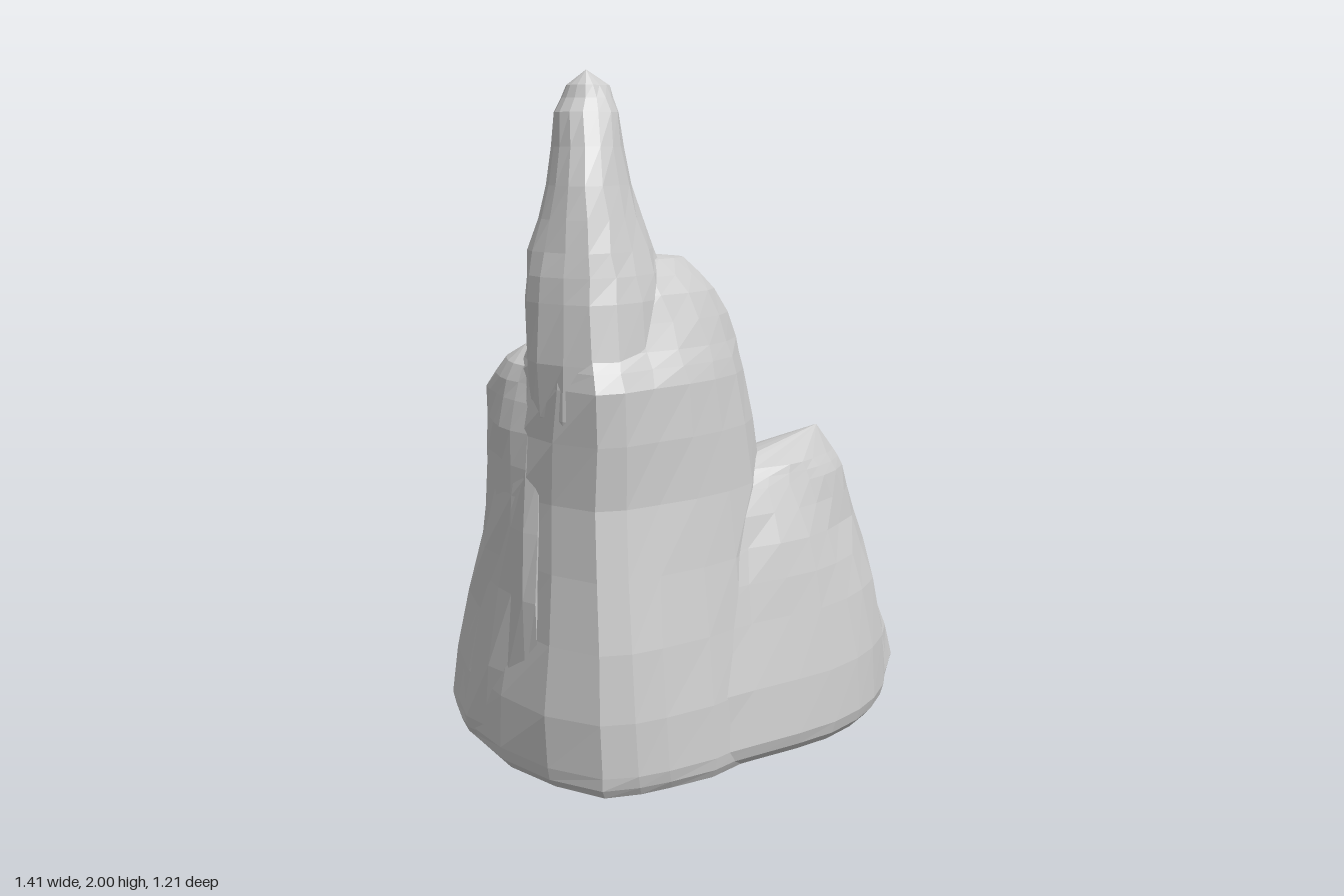
import * as THREE from 'three';

const rockMaterial = new THREE.MeshStandardMaterial({ color: 0xcccccc, flatShading: true });

// Small repeatable offset that roughens the facets
const rough = (p) => 0.008 * Math.sin(17 * p.x + 23 * p.y + 5) * Math.cos(19 * p.z - 13 * p.y);

// Lofts a closed rock from sections [y, x0, z0, x1, z1, ...] listed from the bottom up,
// each running from the front round by +x; closed by an apex below and above.
function rock(name, sections, bottom, top, sides = 20, steps = 2) {
  const rings = sections.map(([y, ...xz]) => {
    const pts = [];
    for (let i = 0; i < xz.length; i += 2) pts.push(new THREE.Vector3(xz[i], y, xz[i + 1]));
    const curve = new THREE.CatmullRomCurve3(pts, true);
    return Array.from({ length: sides }, (_, i) => curve.getPoint(i / sides));
  });

  // Underside: the first ring drawn in, nearly flat, towards the lower apex
  const foot = new THREE.Vector3(...bottom);
  const underside = [[0.55, 0.1], [0.07, 0.06]].map(([inset, drop]) =>
    rings[0].map((p) => p.clone().lerp(foot, inset).setY(p.y - drop)));
  rings.unshift(...underside);

  const columns = Array.from({ length: sides }, (_, j) =>
    new THREE.CatmullRomCurve3(rings.map((r) => r[j])));
  const rows = (rings.length - 1) * steps + 1;
  const pos = [];
  const index = [];
  for (let i = 0; i < rows; i++) {
    for (let j = 0; j < sides; j++) {
      const p = columns[j].getPoint(i / (rows - 1));
      const d = rough(p);
      pos.push(p.x + d, p.y, p.z - d);
    }
  }
  const at = (i, j) => i * sides + (j % sides);
  const low = rows * sides;
  pos.push(...bottom, ...top);
  for (let j = 0; j < sides; j++) {
    for (let i = 0; i < rows - 1; i++) {
      const a = at(i, j), b = at(i, j + 1), c = at(i + 1, j + 1), d = at(i + 1, j);
      index.push(a, b, c, a, c, d);
    }
    index.push(low, at(0, j + 1), at(0, j));
    index.push(low + 1, at(rows - 1, j), at(rows - 1, j + 1));
  }
  const geometry = new THREE.BufferGeometry();
  geometry.setAttribute('position', new THREE.Float32BufferAttribute(pos, 3));
  geometry.setIndex(index);
  geometry.computeVertexNormals();
  const mesh = new THREE.Mesh(geometry, rockMaterial);
  mesh.name = name;
  return mesh;
}

export function createModel() {
  const model = new THREE.Group();
  model.name = 'rockFormation';

  // Tall main body with a ledge behind the peak and a higher shoulder beside it
  model.add(rock('mainBody', [
    [0.17, -0.3, 0.61, -0.11, 0.57, 0.13, 0.42, 0.18, 0.1, 0.04, -0.2, -0.08, -0.37, -0.32, -0.43, -0.58, -0.33, -0.7, -0.08, -0.56, 0.36],
    [0.5, -0.3, 0.58, -0.12, 0.53, 0.11, 0.38, 0.18, 0.1, 0.06, -0.2, -0.08, -0.36, -0.32, -0.42, -0.55, -0.31, -0.64, -0.05, -0.53, 0.33],
    [0.87, -0.3, 0.51, -0.13, 0.46, 0.08, 0.33, 0.2, 0.14, 0.08, -0.15, -0.1, -0.3, -0.32, -0.34, -0.49, -0.24, -0.56, 0, -0.51, 0.3],
    [1.18, -0.3, 0.53, -0.13, 0.44, 0.05, 0.31, 0.15, 0.14, 0.05, -0.1, -0.12, -0.2, -0.3, -0.2, -0.43, -0.13, -0.48, 0, -0.46, 0.28],
    [1.27, -0.3, 0.47, -0.15, 0.4, 0.03, 0.29, 0.13, 0.13, 0.05, -0.08, -0.12, -0.15, -0.27, -0.05, -0.39, 0, -0.44, 0.08, -0.44, 0.27],
    [1.41, -0.3, 0.4, -0.18, 0.35, -0.02, 0.26, 0.07, 0.14, 0.01, 0.05, -0.1, 0.02, -0.22, 0.07, -0.34, 0.12, -0.4, 0.18, -0.41, 0.28],
    [1.5, -0.28, 0.34, -0.2, 0.31, -0.1, 0.24, -0.02, 0.16, -0.06, 0.11, -0.14, 0.1, -0.23, 0.13, -0.32, 0.15, -0.37, 0.2, -0.36, 0.27],
  ], [-0.09, 0, 0.28], [-0.2, 1.52, 0.2]));

  // Narrow peak flaring into the body and leaning back towards its tip
  model.add(rock('spire', [
    [1.1, -0.3, 0.5, -0.16, 0.42, -0.1, 0.24, -0.15, 0.05, -0.3, 0.02, -0.41, 0.1, -0.46, 0.24, -0.43, 0.37],
    [1.4, -0.3, 0.45, -0.16, 0.38, -0.08, 0.23, -0.15, 0.09, -0.3, 0.06, -0.41, 0.11, -0.46, 0.25, -0.43, 0.37],
    [1.53, -0.3, 0.42, -0.18, 0.34, -0.11, 0.22, -0.19, 0.12, -0.3, 0.1, -0.4, 0.14, -0.45, 0.25, -0.42, 0.35],
    [1.7, -0.3, 0.36, -0.21, 0.3, -0.17, 0.21, -0.21, 0.14, -0.3, 0.13, -0.37, 0.15, -0.4, 0.22, -0.38, 0.3],
    [1.89, -0.3, 0.27, -0.23, 0.25, -0.2, 0.19, -0.23, 0.14, -0.3, 0.13, -0.36, 0.15, -0.38, 0.19, -0.36, 0.24],
    [1.96, -0.29, 0.24, -0.25, 0.22, -0.22, 0.18, -0.25, 0.15, -0.29, 0.14, -0.33, 0.16, -0.34, 0.19, -0.33, 0.22],
  ], [-0.28, 0.9, 0.25], [-0.29, 2, 0.21], 16));

  // Upright rib along the -x flank
  model.add(rock('sideRib', [
    [0.2, -0.46, 0.46, -0.4, 0.1, -0.5, -0.27, -0.62, -0.22, -0.68, -0.08, -0.65, 0.19, -0.55, 0.35],
    [0.6, -0.45, 0.42, -0.4, 0.1, -0.5, -0.25, -0.57, -0.2, -0.6, -0.06, -0.58, 0.18, -0.52, 0.33],
    [0.95, -0.44, 0.38, -0.4, 0.1, -0.47, -0.21, -0.53, -0.18, -0.57, -0.04, -0.56, 0.14, -0.51, 0.28],
    [1.12, -0.43, 0.34, -0.4, 0.1, -0.46, -0.14, -0.51, -0.13, -0.57, -0.02, -0.55, 0.12, -0.5, 0.24],
    [1.21, -0.42, 0.28, -0.4, 0.1, -0.44, -0.08, -0.48, -0.07, -0.52, 0, -0.51, 0.1, -0.47, 0.2],
  ], [-0.5, 0.12, 0.05], [-0.46, 1.25, 0.05], 14));

  // Lower shoulder on the +x side, its front running on into the main body
  model.add(rock('lowerShoulder', [
    [0.17, -0.14, 0.54, 0.15, 0.43, 0.4, 0.3, 0.56, 0.13, 0.65, -0.08, 0.68, -0.28, 0.4, -0.45, 0, -0.4, -0.05, -0.2, -0.15, 0.2],
    [0.5, -0.15, 0.5, 0.14, 0.37, 0.36, 0.26, 0.52, 0.1, 0.6, -0.1, 0.56, -0.26, 0.35, -0.4, 0.04, -0.4, 0, -0.2, -0.15, 0.2],
    [0.7, -0.15, 0.44, 0.13, 0.32, 0.33, 0.22, 0.45, 0.08, 0.53, -0.08, 0.46, -0.22, 0.3, -0.29, 0.1, -0.3, 0.03, -0.2, -0.12, 0.2],
    [0.85, -0.12, 0.41, 0.13, 0.26, 0.28, 0.18, 0.4, 0.09, 0.48, -0.04, 0.42, -0.17, 0.28, -0.18, 0.14, -0.17, 0.09, -0.08, -0.08, 0.18],
    [0.9, 0, 0.3, 0.17, 0.2, 0.28, 0.16, 0.37, 0.08, 0.45, -0.04, 0.4, -0.14, 0.29, -0.13, 0.19, -0.1, 0.14, -0.04, 0, 0.14],
  ], [0.18, 0.03, -0.1], [0.4, 0.98, -0.03]));

  // Rounded boulder at the back of the lower shoulder
  model.add(rock('backBoulder', [
    [0.17, 0.35, -0.05, 0.6, -0.06, 0.7, -0.23, 0.68, -0.39, 0.54, -0.5, 0.37, -0.57, 0.15, -0.61, 0, -0.54, -0.07, -0.43, 0, -0.25],
    [0.38, 0.35, -0.08, 0.56, -0.08, 0.64, -0.25, 0.6, -0.37, 0.5, -0.46, 0.35, -0.52, 0.15, -0.55, 0.02, -0.51, -0.07, -0.42, 0, -0.25],
    [0.54, 0.33, -0.1, 0.47, -0.15, 0.53, -0.26, 0.48, -0.36, 0.4, -0.42, 0.29, -0.47, 0.15, -0.49, 0.03, -0.47, -0.06, -0.4, 0, -0.25],
    [0.61, 0.3, -0.15, 0.37, -0.2, 0.41, -0.27, 0.38, -0.33, 0.32, -0.39, 0.24, -0.43, 0.14, -0.45, 0.04, -0.43, -0.02, -0.37, 0.04, -0.25],
  ], [0.2, 0.04, -0.25], [0.2, 0.64, -0.33]));

  return model;
}
